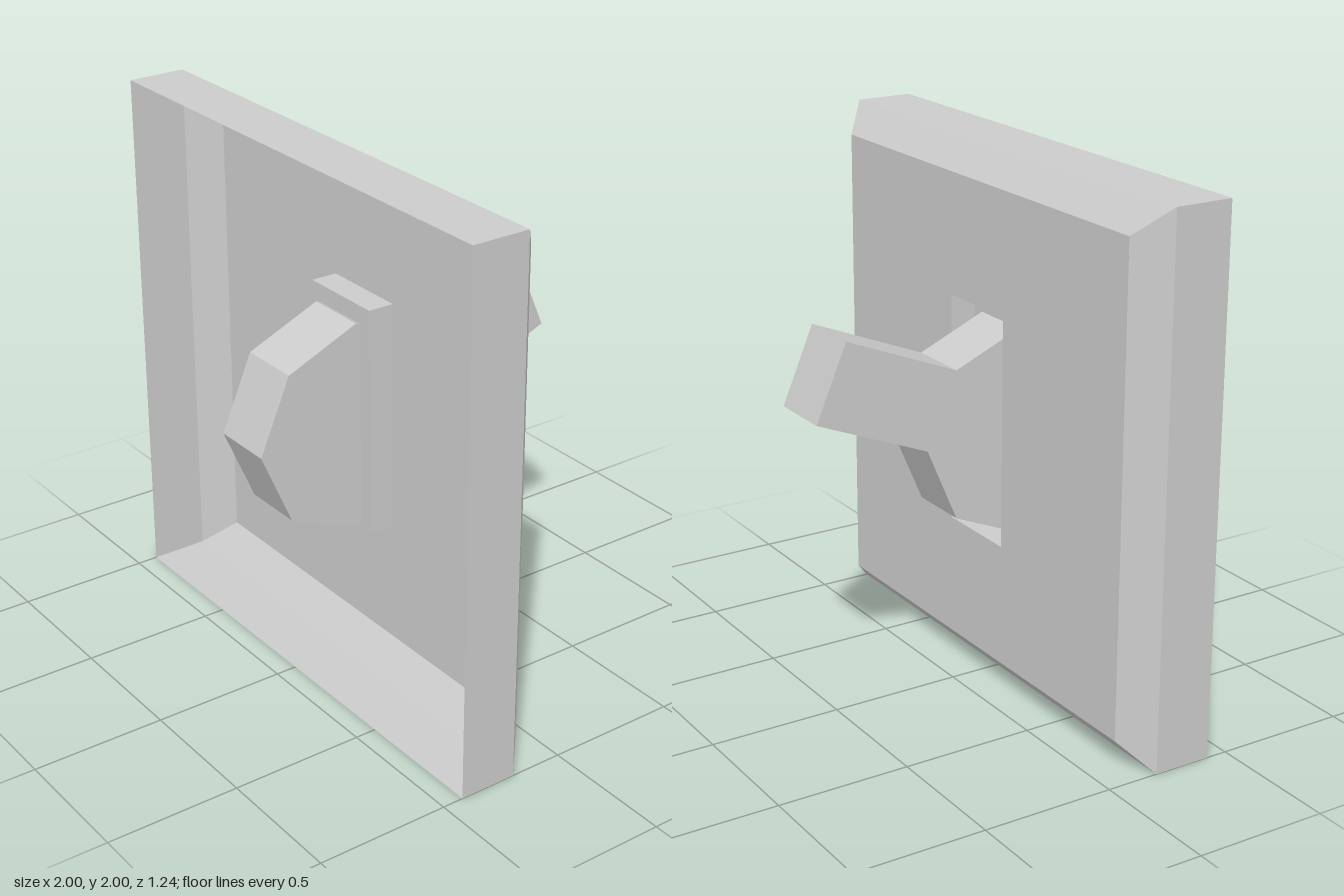
import * as THREE from 'three';

const material = new THREE.MeshStandardMaterial({ color: 0xcccccc, flatShading: true, side: THREE.DoubleSide });

// Rectangular ring: half width, bottom, top, depth
const ring = (w, y0, y1, z) => [[-w, y0, z], [w, y0, z], [w, y1, z], [-w, y1, z]];

// Thin surface through successive rings, optionally closed at the last one
function loft(name, rings, closed = false) {
  const pos = [];
  const quad = (a, b, c, d) => pos.push(...a, ...b, ...c, ...a, ...c, ...d);
  for (let i = 0; i < rings.length - 1; i++) {
    const a = rings[i], b = rings[i + 1];
    for (let k = 0; k < 4; k++) {
      const n = (k + 1) % 4;
      quad(a[k], a[n], b[n], b[k]);
    }
  }
  if (closed) quad(...rings[rings.length - 1]);
  const geometry = new THREE.BufferGeometry();
  geometry.setAttribute('position', new THREE.Float32BufferAttribute(pos, 3));
  geometry.computeVertexNormals();
  const mesh = new THREE.Mesh(geometry, material);
  mesh.name = name;
  return mesh;
}

export function createModel() {
  const group = new THREE.Group();
  group.name = 'toggleSwitch';

  // Hollow cover plate, open at the front, with a chamfered edge and a slot
  const slotBack = ring(0.17, 0.57, 1.44, 0.1);
  group.add(loft('coverPlate', [
    ring(1, 0, 2, 0.42),
    ring(1, 0, 2, 0.2),
    ring(0.89, 0.105, 1.895, 0.1),
    slotBack,
  ]));

  // Shallow pocket standing on the plate around the slot
  group.add(loft('slotPocket', [slotBack, ring(0.17, 0.57, 1.44, 0.2)], true));

  // Octagonal pivot and angled handle in one side profile (z, y)
  const profile = [
    [0.62, 0.98], [0.5, 1.26], [0.22, 1.38], [-0.06, 1.26], [-0.5, 1.44],
    [-0.62, 1.16], [-0.18, 0.98], [-0.06, 0.7], [0.22, 0.58], [0.5, 0.7],
  ];
  const shape = new THREE.Shape(profile.map(([z, y]) => new THREE.Vector2(-z, y)));
  const geometry = new THREE.ExtrudeGeometry(shape, { depth: 0.24, bevelEnabled: false });
  geometry.translate(0, 0, -0.12).rotateY(Math.PI / 2);
  const lever = new THREE.Mesh(geometry, material);
  lever.name = 'toggleLever';
  group.add(lever);

  return group;
}
